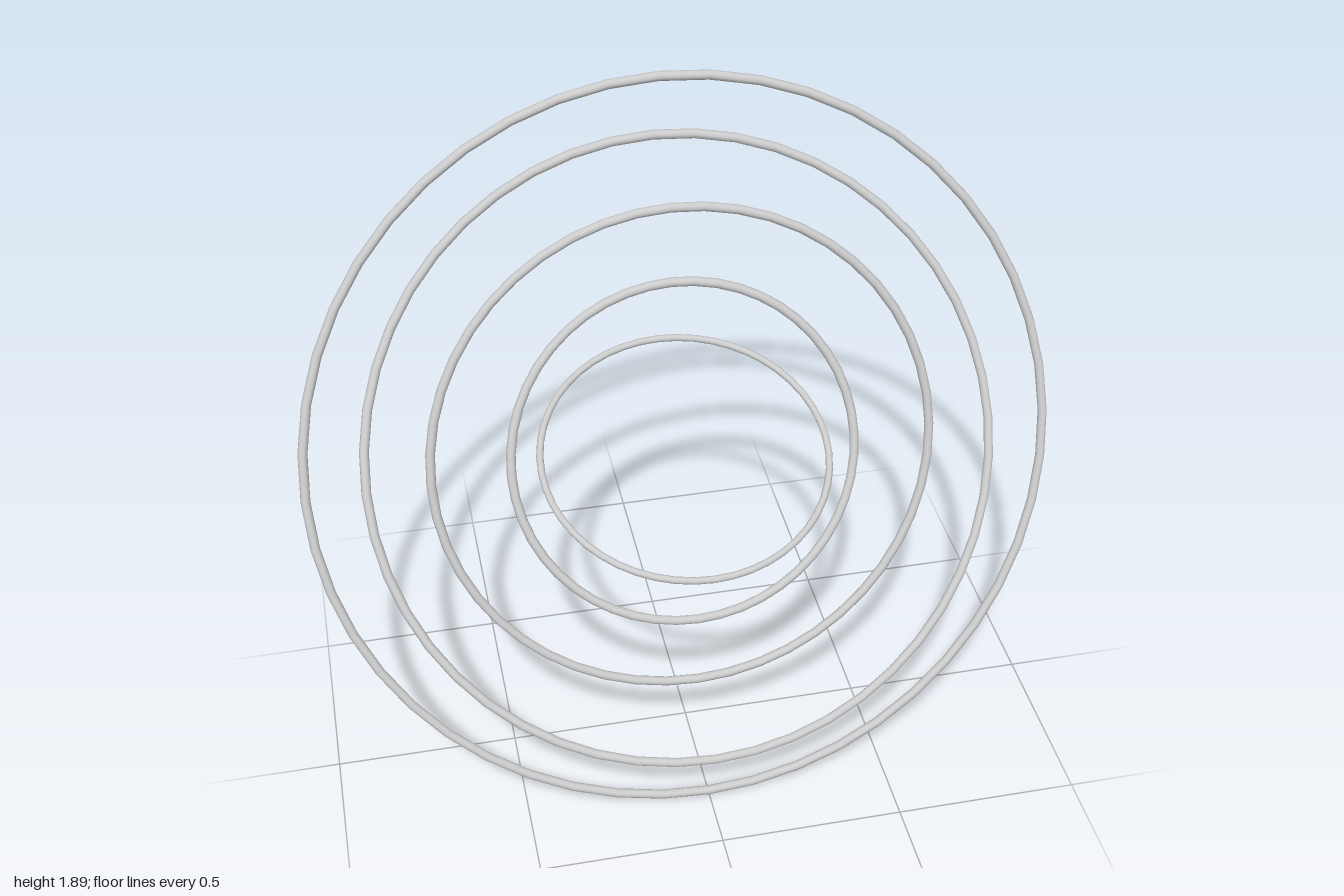
import * as THREE from 'three';

// Five concentric hoops, each tipped back about the shared x axis
const RINGS = [
  { name: 'outerRing', radius: 0.987, tube: 0.0125, tilt: 19 },
  { name: 'secondRing', radius: 0.833, tube: 0.0125, tilt: 29 },
  { name: 'thirdRing', radius: 0.667, tube: 0.0125, tilt: 15.2 },
  { name: 'fourthRing', radius: 0.459, tube: 0.0125, tilt: 22.4 },
  { name: 'innerRing', radius: 0.381, tube: 0.0095, tilt: 70 },
];

export function createModel() {
  const group = new THREE.Group();
  group.name = 'nestedRings';
  const metal = new THREE.MeshStandardMaterial({ color: 0xcccccc });
  metal.name = 'light grey';

  for (const { name, radius, tube, tilt } of RINGS) {
    const ring = new THREE.Mesh(new THREE.TorusGeometry(radius, tube, 10, 48), metal);
    ring.name = name;
    ring.position.y = 0.946;
    ring.rotation.x = -THREE.MathUtils.degToRad(tilt);
    group.add(ring);
  }
  return group;
}
